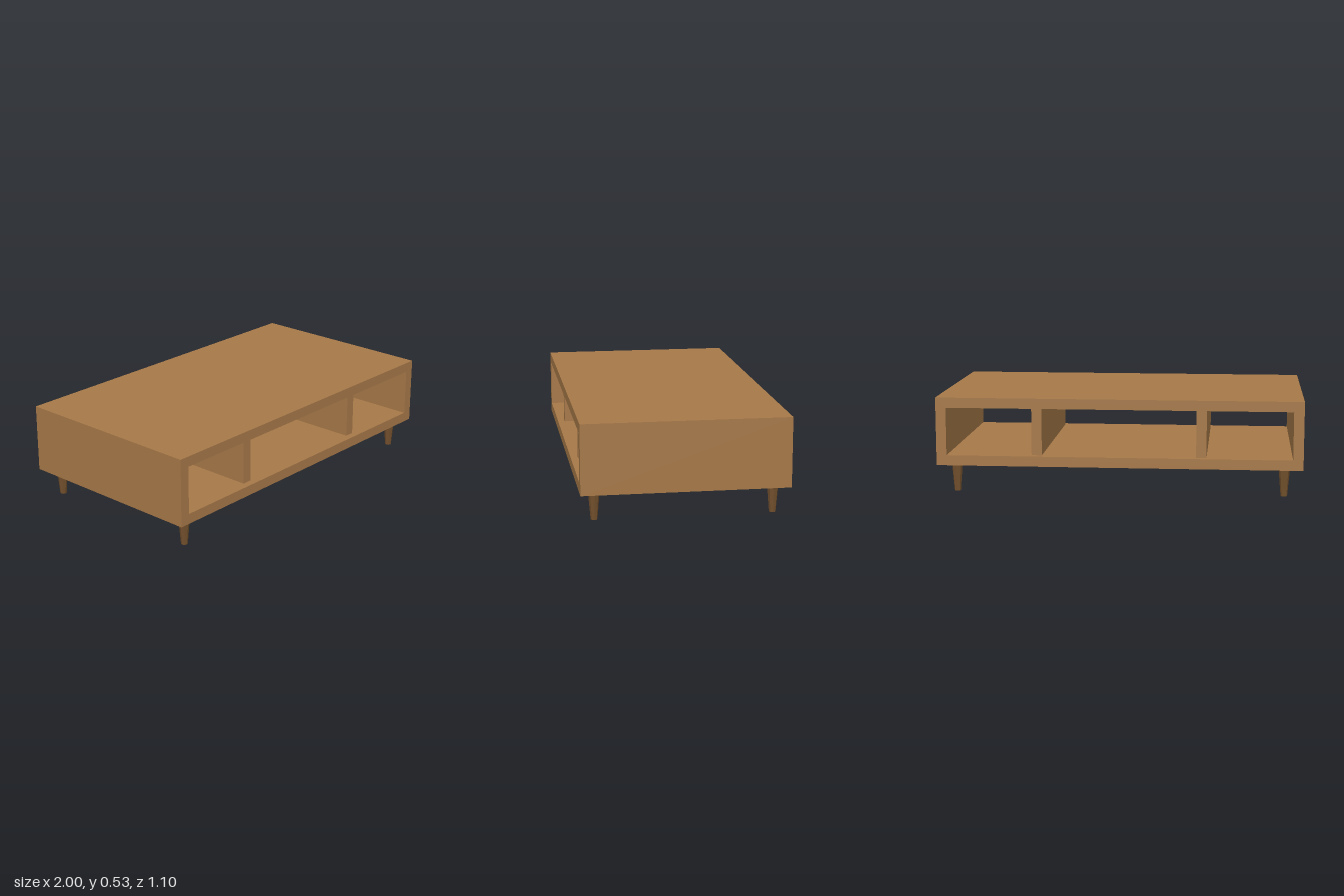
import * as THREE from 'three';

const WIDTH = 2, DEPTH = 1.1, BOTTOM = 0.155, TOP = 0.53, BOARD = 0.056;

// Rectangle outline from two corners
function rectangle(PathType, x0, y0, x1, y1) {
  const path = new PathType();
  path.moveTo(x0, y0);
  path.lineTo(x1, y0);
  path.lineTo(x1, y1);
  path.lineTo(x0, y1);
  path.closePath();
  return path;
}

export function createModel() {
  const model = new THREE.Group();
  model.name = 'coffeeTable';
  const wood = new THREE.MeshStandardMaterial({ color: 0xa67848, flatShading: true });
  const darkWood = new THREE.MeshStandardMaterial({ color: 0x74512d, flatShading: true });

  function add(name, geometry, material, x, y, z) {
    const mesh = new THREE.Mesh(geometry, material);
    mesh.name = name;
    mesh.position.set(x, y, z);
    model.add(mesh);
  }

  // Case: a rectangular tube, open at the front and back
  const outline = rectangle(THREE.Shape, -WIDTH / 2, BOTTOM, WIDTH / 2, TOP);
  outline.holes.push(rectangle(THREE.Path,
    -WIDTH / 2 + BOARD, BOTTOM + BOARD, WIDTH / 2 - BOARD, TOP - BOARD));
  const caseGeometry = new THREE.ExtrudeGeometry(outline, { depth: DEPTH, bevelEnabled: false });
  add('case', caseGeometry, wood, 0, 0, -DEPTH / 2);

  // Dividers, set back a little from both openings
  const dividerGeometry = new THREE.BoxGeometry(BOARD, TOP - BOTTOM - 2 * BOARD, DEPTH - 0.08);
  // Tapered faceted legs
  const legGeometry = new THREE.CylinderGeometry(0.031, 0.018, BOTTOM, 8);

  for (const [side, sx] of [['left', 1], ['right', -1]]) {
    add(side + 'Divider', dividerGeometry, wood, sx * 0.45, (BOTTOM + TOP) / 2, 0);
    for (const [end, sz] of [['Front', 1], ['Back', -1]]) {
      add(side + end + 'Leg', legGeometry, darkWood, sx * 0.9, BOTTOM / 2, sz * 0.472);
    }
  }
  return model;
}
